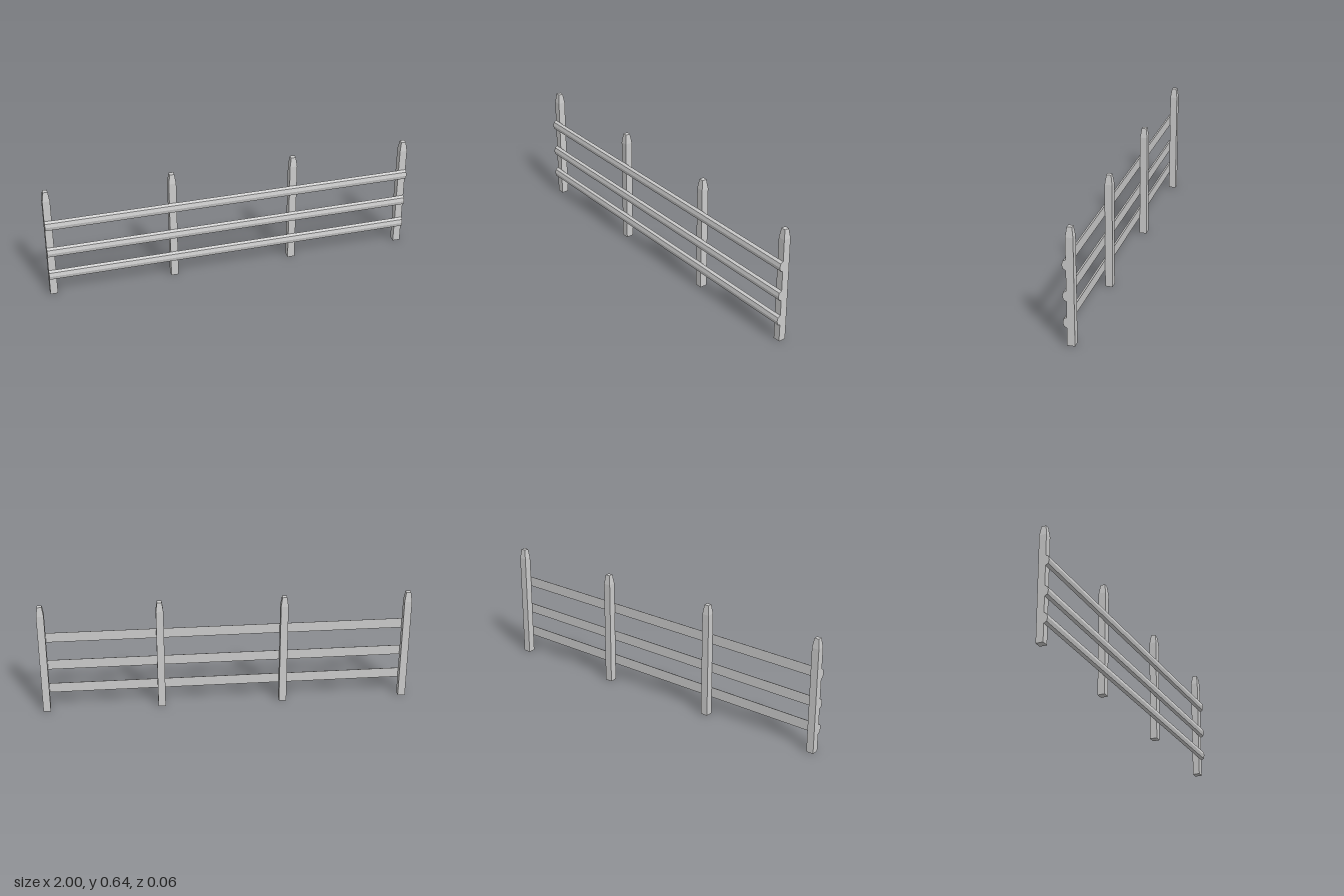
import * as THREE from 'three';

const POST = 0.04, HEIGHT = 0.638, SHOULDER = 0.586, BACK = -0.009, FACE = 0.011;

// Square post whose top tapers to a small flat cap
function postGeometry() {
  const geo = new THREE.BoxGeometry(POST, HEIGHT, POST, 1, 2, 1);
  geo.translate(0, HEIGHT / 2, 0);
  const p = geo.attributes.position;
  for (let i = 0; i < p.count; i++) {
    const y = p.getY(i);
    if (y > HEIGHT * 0.9) {
      p.setX(i, p.getX(i) * 0.63);
      p.setZ(i, p.getZ(i) * 0.63);
    } else if (y > HEIGHT * 0.1) {
      p.setY(i, SHOULDER);
    }
  }
  geo.computeVertexNormals();
  return geo;
}

// Half-round faceted rail, flat at the back, running along x
function railGeometry() {
  const outline = [[0, -0.0285], [0.015, -0.0205], [0.02, 0], [0.015, 0.0205], [0, 0.0285]];
  const shape = new THREE.Shape(outline.map(([z, y]) => new THREE.Vector2(-z, y)));
  const geo = new THREE.ExtrudeGeometry(shape, { depth: 2, bevelEnabled: false });
  geo.translate(0, 0, -1);
  geo.rotateY(Math.PI / 2);
  return geo;
}

export function createModel() {
  const model = new THREE.Group();
  model.name = 'fence';
  const material = new THREE.MeshStandardMaterial({ color: 0xcccccc, flatShading: true });

  // Posts
  const post = postGeometry();
  [-0.98, -0.314, 0.352, 0.98].forEach((x, i) => {
    const mesh = new THREE.Mesh(post, material);
    mesh.name = `post${i + 1}`;
    mesh.position.set(x, 0, BACK);
    model.add(mesh);
  });

  // Rails fixed to the front of the posts
  const rail = railGeometry();
  const heights = { lowerRail: 0.126, middleRail: 0.271, upperRail: 0.438 };
  for (const [name, y] of Object.entries(heights)) {
    const mesh = new THREE.Mesh(rail, material);
    mesh.name = name;
    mesh.position.set(0, y, FACE);
    model.add(mesh);
  }
  return model;
}
